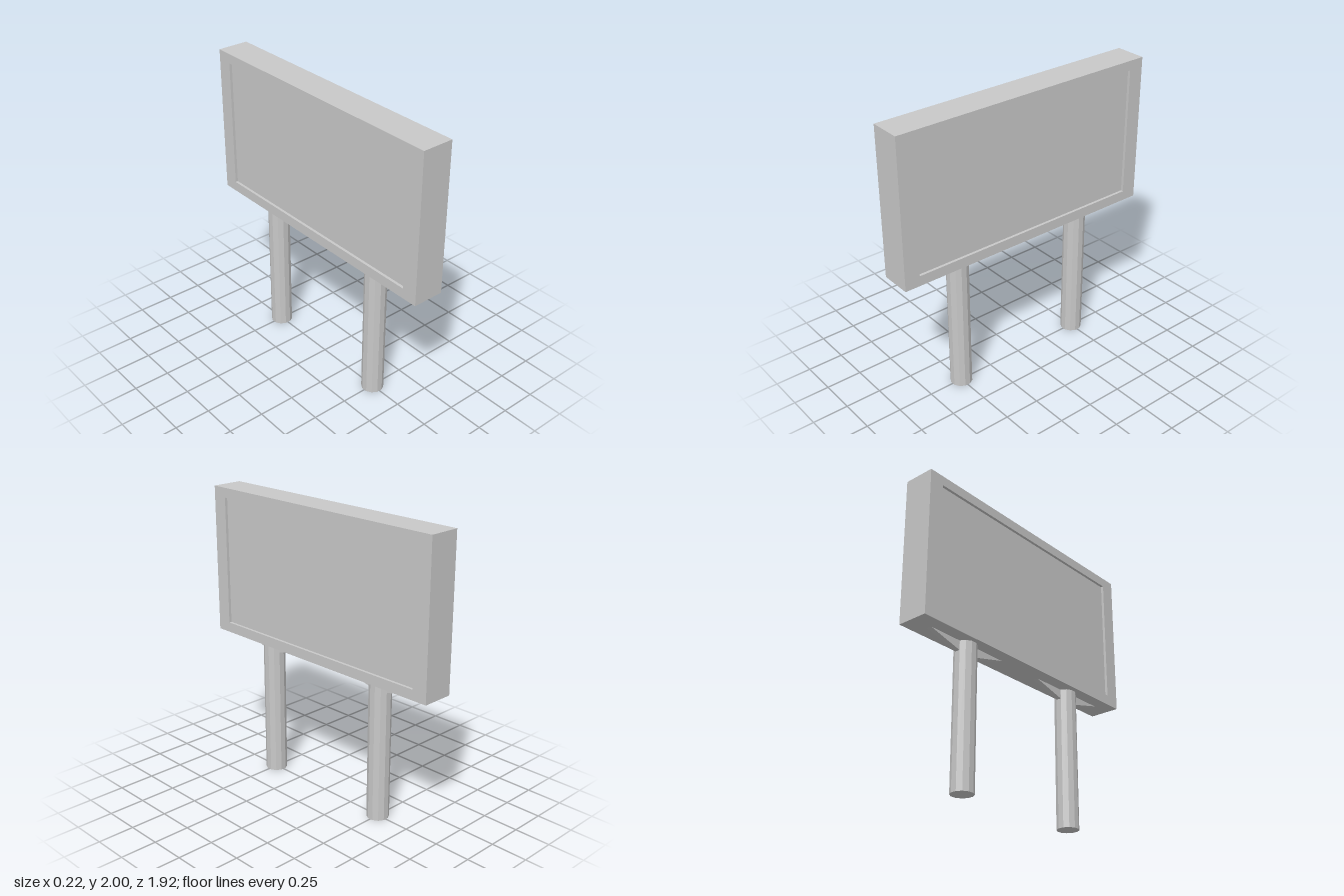
import * as THREE from 'three';

const grey = new THREE.MeshStandardMaterial({ color: 0xc8c8c8, flatShading: true });
grey.name = 'plain grey';

function add(parent, name, geometry) {
  const mesh = new THREE.Mesh(geometry, grey);
  mesh.name = name;
  parent.add(mesh);
  return mesh;
}

// Extrudes a (z, y) outline along x, centred on x = 0
function plate(shape, width) {
  const g = new THREE.ExtrudeGeometry(shape, { depth: width, bevelEnabled: false });
  return g.translate(0, 0, -width / 2).rotateY(-Math.PI / 2);
}

function outline(Type, points) {
  return new Type(points.map(([z, y]) => new THREE.Vector2(z, y)));
}

const rectangle = (halfZ, y0, y1) => [[-halfZ, y0], [halfZ, y0], [halfZ, y1], [-halfZ, y1]];

export function createModel() {
  const model = new THREE.Group();
  model.name = 'billboard';

  // Deep frame with a shallow recessed panel on both sides
  const frame = outline(THREE.Shape, rectangle(0.962, 0.97, 2));
  frame.holes.push(outline(THREE.Path, rectangle(0.855, 1.04, 1.933)));
  add(model, 'frame', plate(frame, 0.218));
  add(model, 'displayPanel', new THREE.BoxGeometry(0.18, 0.893, 1.71)).position.y = 1.4865;

  // Two faceted posts, each with a tapered bracket under the frame
  const bracket = outline(THREE.Shape, [[-0.32, 0.97], [-0.07, 0.904], [0.07, 0.904], [0.32, 0.97]]);
  for (const side of [1, -1]) {
    const support = new THREE.Group();
    support.name = side > 0 ? 'frontSupport' : 'backSupport';
    support.position.z = side * 0.5;
    const post = new THREE.CylinderGeometry(0.075, 0.075, 0.97, 12).rotateY(Math.PI / 12);
    add(support, 'post', post).position.y = 0.485;
    add(support, 'bracket', plate(bracket, 0.036));
    model.add(support);
  }
  return model;
}
